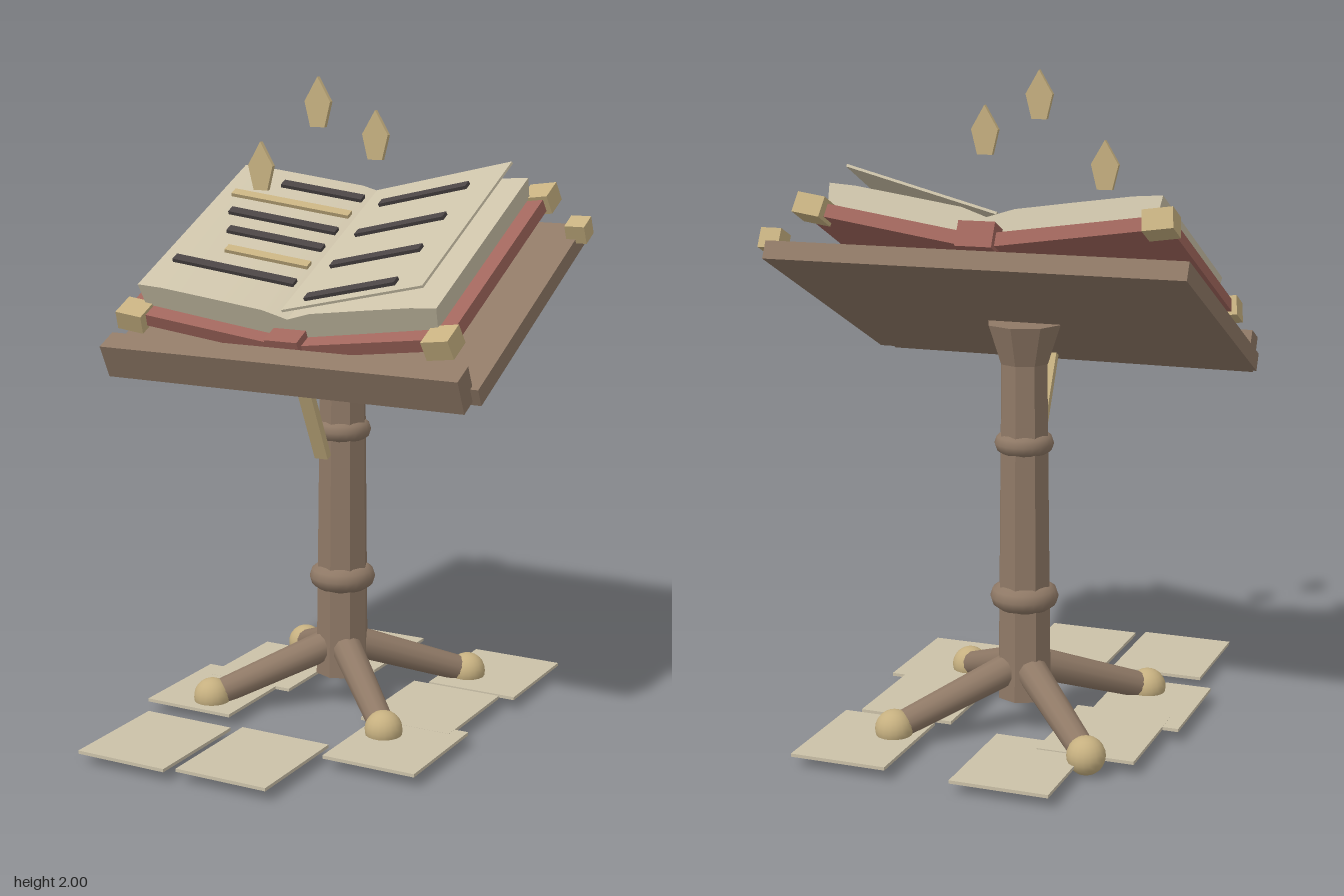
import * as THREE from 'three';
import { toCreasedNormals } from 'three/addons/utils/BufferGeometryUtils.js';

const mat = (name, color) => {
  const m = new THREE.MeshStandardMaterial({ color });
  m.name = name;
  return m;
};

export function createModel() {
  const wood = mat('wood', 0x8f7966);
  const brass = mat('brass', 0xc6b080);
  const leather = mat('red leather', 0xa0665c);
  const paper = mat('paper', 0xcbc1a8);
  const ink = mat('ink', 0x4a4444);

  const model = new THREE.Group();
  const add = (parent, name, geo, material, x = 0, y = 0, z = 0) => {
    const m = new THREE.Mesh(geo, material);
    m.name = name;
    m.position.set(x, y, z);
    parent.add(m);
    return m;
  };
  const box = (parent, name, material, [w, h, d], [x, y, z]) =>
    add(parent, name, new THREE.BoxGeometry(w, h, d), material, x, y, z);
  const group = (parent, name, x, y, z) => {
    const g = new THREE.Group();
    g.name = name;
    g.position.set(x, y, z);
    parent.add(g);
    return g;
  };
  const octagon = (top, bottom, h) =>
    toCreasedNormals(new THREE.CylinderGeometry(top, bottom, h, 8), 0.5);

  // Pedestal: eight-sided post, flared capital and two collars
  const stand = group(model, 'pedestal', -0.02, 0, -0.145);
  add(stand, 'post', octagon(0.073, 0.086, 1.1), wood, 0, 0.65, 0);
  add(stand, 'capital', octagon(0.115, 0.075, 0.12), wood, 0, 1.205, 0);
  for (const [y, R, r] of [[0.42, 0.065, 0.04], [0.9, 0.055, 0.035]]) {
    add(stand, 'collar', new THREE.TorusGeometry(R, r, 10, 20), wood, 0, y, 0).rotation.x = Math.PI / 2;
  }

  // Four splayed legs with ball feet
  const up = new THREE.Vector3(0, 1, 0);
  for (const sx of [-1, 1]) for (const sz of [-1, 1]) {
    const foot = new THREE.Vector3(0.305 * sx, 0.058, 0.305 * sz);
    const hip = new THREE.Vector3(0.02 * sx, 0.2, 0.02 * sz);
    const dir = hip.clone().sub(foot);
    const leg = add(stand, 'leg', new THREE.CylinderGeometry(0.05, 0.04, dir.length(), 12), wood);
    leg.position.copy(foot).add(hip).multiplyScalar(0.5);
    leg.quaternion.setFromUnitVectors(up, dir.normalize());
    add(stand, 'ballFoot', new THREE.SphereGeometry(0.058, 18, 12), brass, foot.x, foot.y, foot.z);
  }

  // Sloping desk
  const desk = group(model, 'desk', -0.0175, 1.3, -0.19);
  desk.rotation.x = THREE.MathUtils.degToRad(26);
  box(desk, 'board', wood, [1.255, 0.055, 0.885], [0, 0.018, 0]);
  box(desk, 'ledge', wood, [1.205, 0.112, 0.078], [0, 0.058, 0.465]);
  box(desk, 'sideKnob', brass, [0.065, 0.06, 0.065], [0.63, 0.062, -0.387]);
  box(desk, 'ribbon', brass, [0.045, 0.4, 0.024], [0.025, -0.107, 0.4]);

  // Open book: spine, then each half mirrored
  const book = group(desk, 'book', 0, 0, 0);
  box(book, 'spine', leather, [0.11, 0.075, 0.85], [0, 0.1, 0]);
  const coverAngle = Math.atan(0.15);
  for (const s of [-1, 1]) {
    const half = group(book, s < 0 ? 'rightCover' : 'leftCover', 0, 0.085, 0);
    half.rotation.z = s * coverAngle;
    box(half, 'cover', leather, [0.55, 0.04, 0.81], [s * 0.278, 0, 0]);
    for (const z of [-0.392, 0.392]) {
      box(half, 'coverCorner', brass, [0.088, 0.062, 0.085], [s * 0.525, 0, z]);
    }

    // Page block with a gently bowed top
    const shape = new THREE.Shape();
    shape.moveTo(0, 0.105);
    shape.lineTo(s * 0.25, 0.145);
    shape.lineTo(s * 0.495, 0.185);
    shape.lineTo(s * 0.503, 0.256);
    shape.lineTo(s * 0.42, 0.25);
    shape.lineTo(s * 0.25, 0.225);
    shape.lineTo(s * 0.08, 0.199);
    shape.lineTo(0, 0.172);
    const pages = new THREE.ExtrudeGeometry(shape, { depth: 0.72, bevelEnabled: false, steps: 1 });
    pages.translate(0, 0, -0.36);
    add(book, 'pageBlock', toCreasedNormals(pages, 0.6), paper);
  }

  // Written lines on one page, some of them gilded
  const page = group(book, 'writtenPage', 0, 0.194, 0);
  page.rotation.z = -Math.atan(0.147);
  [0.3275, 0.4575, 0.4175, 0.3725, 0.3275, 0.4575].forEach((end, i) => {
    box(page, 'writtenLine', i === 1 || i === 4 ? brass : ink,
      [end - 0.0425, 0.012, 0.03], [-(end + 0.0425) / 2, 0, -0.28 + 0.098 * i]);
  });

  // Lifted loose page with its own lines
  const loose = group(book, 'loosePage', -0.022, 0.19, 0);
  loose.rotation.z = Math.atan(0.26);
  box(loose, 'turningLeaf', paper, [0.505, 0.008, 0.69], [0.2525, 0, 0]);
  for (let i = 0; i < 4; i++) {
    box(loose, 'writtenLine', ink, [0.325, 0.012, 0.03], [0.235, 0.009, -0.233 + 0.178 * i]);
  }

  // Floating flat flames
  const flame = new THREE.Shape();
  [[-0.024, 0], [0.024, 0], [0.043, 0.075], [0, 0.147], [-0.043, 0.075]].forEach(([x, y], i) =>
    i ? flame.lineTo(x, y) : flame.moveTo(x, y));
  const flameGeo = new THREE.ExtrudeGeometry(flame, { depth: 0.015, bevelEnabled: false });
  flameGeo.translate(0, 0, -0.0075);
  for (const [x, y, z] of [[-0.22, 1.653, 0.008], [0.005, 1.853, 0.057], [0.132, 1.753, -0.068]]) {
    add(model, 'flame', flameGeo, brass, x, y, z);
  }

  // Loose sheets lying around the feet
  const sheets = [[-0.155, -0.532], [0.355, -0.512], [-0.3, 0.523], [0.03, 0.503],
    [0.355, 0.213], [0.31, -0.12], [-0.36, 0.06], [-0.31, -0.23]];
  sheets.forEach(([x, z], i) =>
    box(model, 'floorSheet', paper, [0.3, 0.01, 0.375], [x, 0.036 + 0.0005 * i, z]));

  return model;
}
